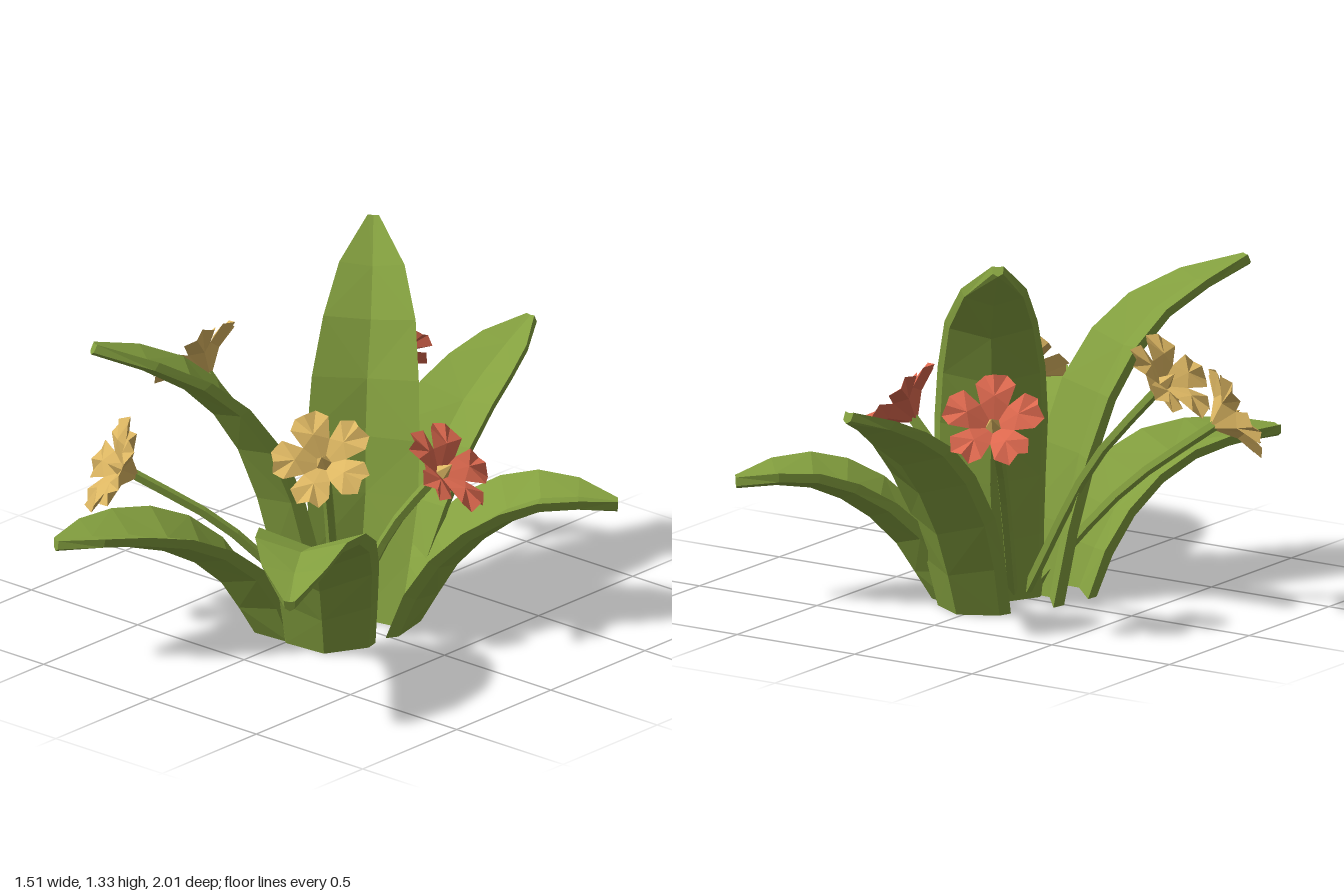
import * as THREE from 'three';

const V = (p) => new THREE.Vector3(...p);

// Faceted geometry from a list of triangle corners
function facets(corners) {
  const g = new THREE.BufferGeometry().setFromPoints(corners);
  g.computeVertexNormals();
  return g;
}

// Join rings of points with flat facets and close both ends
function loft(rings) {
  const out = [];
  const n = rings[0].length;
  for (let i = 0; i < rings.length - 1; i++) {
    for (let j = 0; j < n; j++) {
      const k = (j + 1) % n;
      const [a, b, c, d] = [rings[i][j], rings[i][k], rings[i + 1][k], rings[i + 1][j]];
      if ((i + j) % 2) out.push(a, b, c, a, c, d);
      else out.push(a, b, d, b, c, d);
    }
  }
  const first = rings[0], last = rings[rings.length - 1];
  const quads = [[0, 1, 4, 5], [1, 2, 3, 4]];
  for (const [a, b, c, d] of quads) {
    out.push(first[a], first[c], first[b], first[a], first[d], first[c]);
    out.push(last[a], last[b], last[c], last[a], last[c], last[d]);
  }
  return facets(out);
}

// Thick channelled blade swept along a spine, leaning outward from base to tip
const WIDTHS = [0.82, 0.9, 0.98, 1, 0.95, 0.82, 0.58, 0.1];
function leafGeometry({ spine, half }) {
  const curve = new THREE.CatmullRomCurve3(spine.map(V));
  const out = V(spine[spine.length - 1]).sub(V(spine[0])).setY(0);
  const side = new THREE.Vector3(0, 1, 0).cross(out).normalize();
  const rings = WIDTHS.map((f, i) => {
    const t = i / (WIDTHS.length - 1);
    const p = curve.getPoint(t);
    const up = curve.getTangent(t).cross(side).normalize();
    const w = half * f;
    const lift = w * (0.45 - 0.25 * t);
    const thick = 0.065 - 0.025 * t;
    const section = [
      [w, lift], [0, 0], [-w, lift],
      [-w * 0.9, lift - thick * 0.8], [0, -thick], [w * 0.9, lift - thick * 0.8],
    ];
    return section.map(([s, n]) => {
      const q = p.clone().addScaledVector(side, s).addScaledVector(up, n);
      q.y = i === 0 ? 0 : Math.max(0, q.y);
      return q;
    });
  });
  return loft(rings);
}

// Five broad folded petals with a front and a back, opening along +z
function petalsGeometry(radius) {
  const out = [];
  const at = (r, a, z) => new THREE.Vector3(r * radius * Math.cos(a), r * radius * Math.sin(a), z * radius);
  const step = (Math.PI * 2) / 5;
  const throat = at(0, 0, -0.3);
  const neck = at(0, 0, -0.62);
  for (let i = 0; i < 5; i++) {
    const a = i * step + Math.PI / 2;
    const left = at(0.48, a + step / 2, -0.06);
    const right = at(0.48, a - step / 2, -0.06);
    const rim = [
      right, at(0.9, a - 0.48, 0.08), at(1.06, a - 0.2, 0),
      at(0.98, a + 0.05, 0.14), at(1.04, a + 0.24, 0), at(0.88, a + 0.48, 0.08), left,
    ];
    const fold = at(0.55, a, 0.06);
    const back = at(0.5, a, -0.2);
    out.push(throat, right, fold, throat, fold, left);
    out.push(neck, back, right, neck, left, back);
    for (let j = 0; j < rim.length - 1; j++) {
      out.push(fold, rim[j], rim[j + 1], back, rim[j + 1], rim[j]);
    }
  }
  return facets(out);
}

const LEAVES = [
  { name: 'backLeaf', half: 0.18, spine: [[0.02, 0, -0.27], [0.02, 0.3, -0.38], [0.02, 0.6, -0.59], [0.03, 0.75, -0.77], [0.03, 0.87, -0.99]] },
  { name: 'tallLeaf', half: 0.2, spine: [[0.03, 0, -0.06], [0.02, 0.4, -0.12], [-0.02, 0.75, -0.17], [-0.1, 1.08, -0.29], [-0.25, 1.33, -0.47]] },
  { name: 'tallFrontLeaf', half: 0.17, spine: [[-0.11, 0, 0.06], [-0.15, 0.45, 0.16], [-0.2, 0.8, 0.31], [-0.29, 1.01, 0.5], [-0.47, 1.15, 0.76]] },
  { name: 'frontRightLeaf', half: 0.19, spine: [[-0.12, 0, 0.23], [-0.16, 0.23, 0.35], [-0.23, 0.4, 0.55], [-0.34, 0.47, 0.78], [-0.45, 0.48, 0.99]] },
  { name: 'frontLeftLeaf', half: 0.2, spine: [[0.14, 0, 0.22], [0.2, 0.28, 0.31], [0.31, 0.49, 0.47], [0.47, 0.59, 0.74], [0.62, 0.52, 0.96]] },
  { name: 'backLeftLeaf', half: 0.2, spine: [[0.18, 0, -0.15], [0.26, 0.22, -0.24], [0.4, 0.39, -0.36], [0.56, 0.47, -0.49], [0.75, 0.46, -0.64]] },
];

const FLOWERS = [
  { name: 'leftRedFlower', red: true, center: [0.44, 0.67, -0.09], face: [0.7, 0.68, -0.15], spin: 0.2 },
  { name: 'backRedFlower', red: true, center: [-0.3, 0.8, -0.58], face: [-0.33, 0.63, -0.68], spin: 0.5 },
  { name: 'rightYellowFlower', center: [-0.62, 0.87, 0.07], face: [-0.72, 0.69, 0.05], spin: 0.1 },
  { name: 'frontYellowFlower', center: [-0.54, 0.62, 0.59], face: [-0.55, 0.45, 0.7], spin: 0.4 },
  { name: 'innerYellowFlower', center: [0.19, 0.75, 0.3], face: [0.38, 0.64, 0.62], spin: 0.65 },
];

export function createModel() {
  const leafGreen = new THREE.MeshStandardMaterial({ color: 0x84a03f });
  const petalYellow = new THREE.MeshStandardMaterial({ color: 0xdcb662 });
  const petalRed = new THREE.MeshStandardMaterial({ color: 0xdc684e });

  const model = new THREE.Group();
  model.name = 'floweringPlant';
  const add = (parent, name, geometry, material) => {
    const mesh = new THREE.Mesh(geometry, material);
    mesh.name = name;
    parent.add(mesh);
    return mesh;
  };
  const faceted = (geometry) => {
    const g = geometry.toNonIndexed();
    g.computeVertexNormals();
    return g;
  };

  for (const leaf of LEAVES) add(model, leaf.name, leafGeometry(leaf), leafGreen);

  const petals = petalsGeometry(0.175);
  for (const { name, red, center, face, spin } of FLOWERS) {
    const normal = V(face).normalize();
    const c = V(center);

    // Flower head: petals and a small heart
    const head = new THREE.Group();
    head.name = name;
    head.position.copy(c);
    head.quaternion.setFromUnitVectors(new THREE.Vector3(0, 0, 1), normal);
    head.rotateZ(spin);
    add(head, 'petals', petals, red ? petalRed : petalYellow);
    const heart = add(head, 'heart', faceted(new THREE.ConeGeometry(0.03, 0.06, 5)), petalYellow);
    heart.rotation.x = Math.PI / 2;
    heart.position.z = -0.01;
    model.add(head);

    // Stem bending from the heart of the plant to the flower
    const neck = c.clone().addScaledVector(normal, -0.085);
    const bend = new THREE.Vector3(c.x * 0.5, c.y * 0.6, c.z * 0.5);
    const path = new THREE.CatmullRomCurve3([
      new THREE.Vector3(c.x * 0.08, 0.03, c.z * 0.08), bend, neck,
    ]);
    add(model, name + 'Stem', faceted(new THREE.TubeGeometry(path, 6, 0.02, 5)), leafGreen);
  }
  return model;
}
